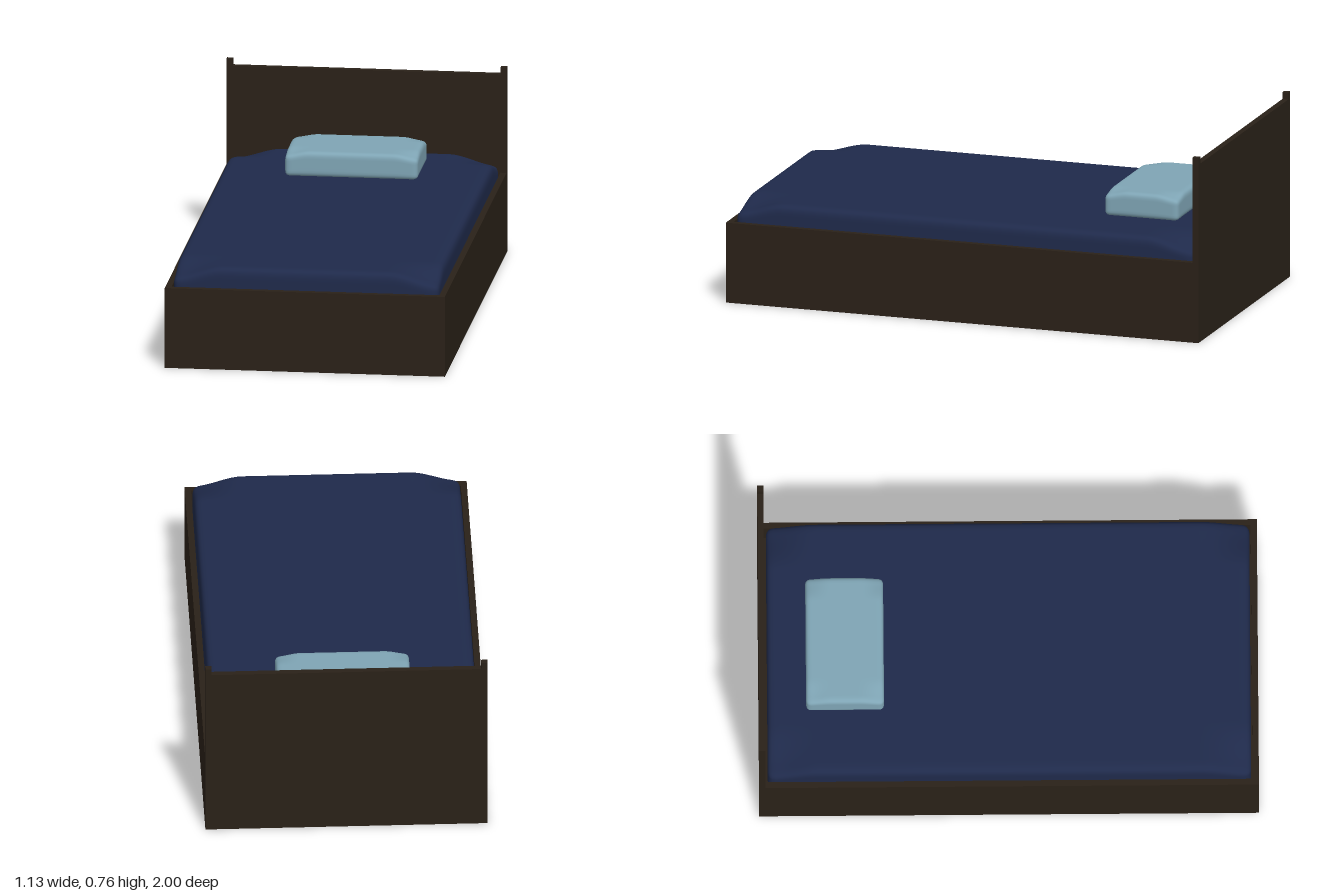
import * as THREE from 'three';
import { mergeVertices } from 'three/addons/utils/BufferGeometryUtils.js';

const wood = new THREE.MeshStandardMaterial({ color: 0x2a2118 });
const navy = new THREE.MeshStandardMaterial({ color: 0x1f2a4b });
const paleBlue = new THREE.MeshStandardMaterial({ color: 0x7fa5b5 });

// Box given by its min and max corners
function block(name, min, max) {
  const size = max.map((v, i) => v - min[i]);
  const mesh = new THREE.Mesh(new THREE.BoxGeometry(...size), wood);
  mesh.position.set(...min.map((v, i) => v + size[i] / 2));
  mesh.name = name;
  return mesh;
}

// Soft rounded slab whose upper corners sag
function cushion(name, size, radius, cell, sag, reach, material) {
  const half = size.map((s) => s / 2);
  let geo = new THREE.BoxGeometry(...size, ...size.map((s) => Math.ceil(s / cell)));
  geo.deleteAttribute('uv');
  geo.deleteAttribute('normal');
  const pos = geo.attributes.position;
  const p = new THREE.Vector3();
  const core = new THREE.Vector3();
  const limit = new THREE.Vector3(...half).subScalar(radius);
  for (let i = 0; i < pos.count; i++) {
    p.fromBufferAttribute(pos, i);
    core.copy(p).clamp(limit.clone().negate(), limit);
    p.sub(core).setLength(radius).add(core);
    const nearX = THREE.MathUtils.smoothstep(Math.abs(p.x), half[0] - reach, half[0]);
    const nearZ = THREE.MathUtils.smoothstep(Math.abs(p.z), half[2] - reach, half[2]);
    p.y -= sag * nearX * nearZ * (p.y + half[1]) / size[1];
    pos.setXYZ(i, p.x, p.y, p.z);
  }
  geo = mergeVertices(geo, 1e-5);
  geo.computeVertexNormals();
  const mesh = new THREE.Mesh(geo, material);
  mesh.name = name;
  return mesh;
}

export function createModel() {
  const bed = new THREE.Group();
  bed.name = 'bed';
  const W = 0.565, L = 1, T = 0.025, H = 0.33;

  // Box frame: base panel, rails and footboard
  const frame = new THREE.Group();
  frame.name = 'frame';
  frame.add(block('basePanel', [-W + T, 0, -L + T], [W - T, 0.22, L - T]));
  frame.add(block('footboard', [-W + T, 0, L - T], [W - T, H, L]));
  for (const [side, x] of [['left', W - T], ['right', -W]]) {
    frame.add(block(side + 'Rail', [x, 0, -L + T], [x + T, H, L]));
    frame.add(block(side + 'Post', [x, 0, -L], [x + T, 0.765, -L + T]));
  }
  frame.add(block('headboard', [-W + T, 0, -L], [W - T, 0.737, -L + T]));
  bed.add(frame);

  // Bedding
  const mattress = cushion('mattress', [1.07, 0.19, 1.935], 0.03, 0.016, 0.045, 0.2, navy);
  mattress.position.set(0, 0.315, 0.002);
  const pillow = cushion('pillow', [0.536, 0.102, 0.312], 0.02, 0.01, 0.016, 0.1, paleBlue);
  pillow.position.set(-0.002, 0.463, -0.654);
  bed.add(mattress, pillow);
  return bed;
}
